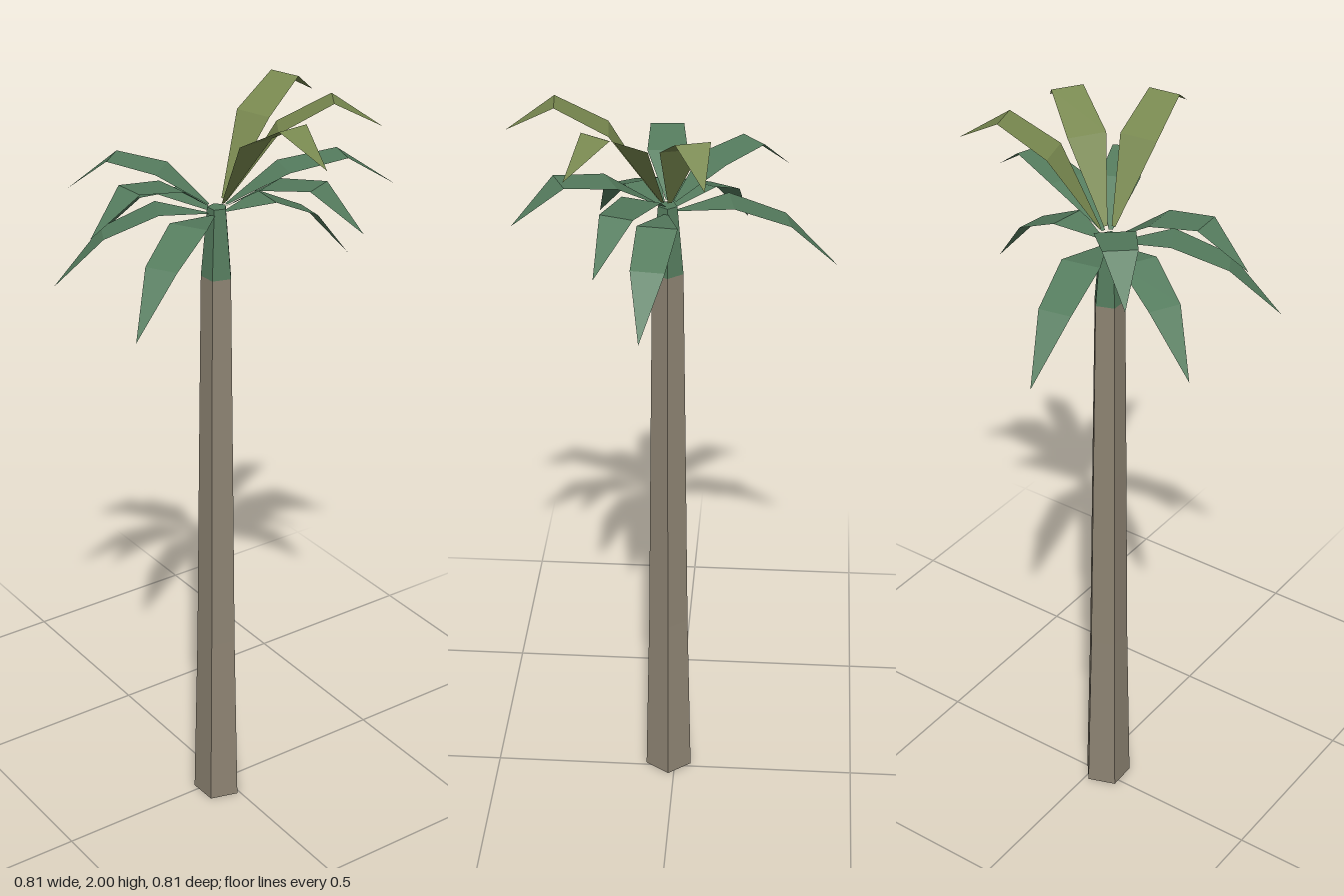
import * as THREE from 'three';

const CX = -0.031, CZ = 0.018; // trunk axis

function material(name, color) {
  const m = new THREE.MeshStandardMaterial({ color, flatShading: true, side: THREE.DoubleSide });
  m.name = name;
  return m;
}

// Five-sided turned part around the trunk axis
function turned(name, profile, mat) {
  const points = profile.map(([r, y]) => new THREE.Vector2(r, y));
  const mesh = new THREE.Mesh(new THREE.LatheGeometry(points, 5), mat);
  mesh.name = name;
  mesh.position.set(CX, 0, CZ);
  mesh.rotation.y = THREE.MathUtils.degToRad(20);
  return mesh;
}

// Flat folded leaf from the trunk to the tip point (x, z); heights: root, inner fold, outer fold, tip
function frond(name, x, z, heights, mat) {
  const dx = x - CX, dz = z - CZ, length = Math.hypot(dx, dz);
  const ux = dx / length, uz = dz / length;
  const reach = [0.022, length * 0.365, length * 0.695, length];
  const half = [0.005, 0.05, 0.042, 0];
  const positions = [], index = [];
  for (let i = 0; i < 4; i++) {
    for (const s of [-1, 1]) {
      positions.push(ux * reach[i] - uz * half[i] * s, heights[i], uz * reach[i] + ux * half[i] * s);
    }
    if (i < 3) {
      const a = i * 2;
      index.push(a, a + 1, a + 2);
      if (i < 2) index.push(a + 1, a + 3, a + 2); // last section is a single triangle
    }
  }
  const geometry = new THREE.BufferGeometry();
  geometry.setAttribute('position', new THREE.Float32BufferAttribute(positions, 3));
  geometry.setIndex(index);
  geometry.computeVertexNormals();
  const mesh = new THREE.Mesh(geometry, mat);
  mesh.name = name;
  mesh.position.set(CX, 0, CZ);
  return mesh;
}

export function createModel() {
  const bark = material('bark', 0x8e8473);
  const green = material('leafGreen', 0x557c5e);
  const olive = material('youngLeafOlive', 0x78884f);

  const model = new THREE.Group();
  model.name = 'palmTree';

  // Tapered trunk and green crown shaft
  model.add(turned('trunk', [[0, 0], [0.066, 0], [0.055, 0.5], [0.048, 1.05], [0.041, 1.55]], bark));
  model.add(turned('crownShaft', [[0.041, 1.55], [0.025, 1.73], [0, 1.73]], green));

  // Three tiers of fronds, listed by tip position
  const tiers = [
    { name: 'lowerFrond', mat: green, heights: [1.715, 1.733, 1.675, 1.54],
      tips: [[-0.108, -0.405], [-0.39, -0.168], [-0.4, 0.223], [0.34, 0.062]] },
    { name: 'middleFrond', mat: green, heights: [1.735, 1.815, 1.835, 1.74],
      tips: [[-0.28, -0.273], [-0.408, 0.045], [0.135, 0.38], [0.406, 0.158]] },
    { name: 'upperFrond', mat: olive, heights: [1.745, 1.93, 2.0, 1.93],
      tips: [[0.005, 0.403], [0.3, 0.233], [0.333, -0.09]] },
  ];
  for (const { name, mat, heights, tips } of tiers) {
    tips.forEach(([x, z], i) => model.add(frond(name + (i + 1), x, z, heights, mat)));
  }
  return model;
}
